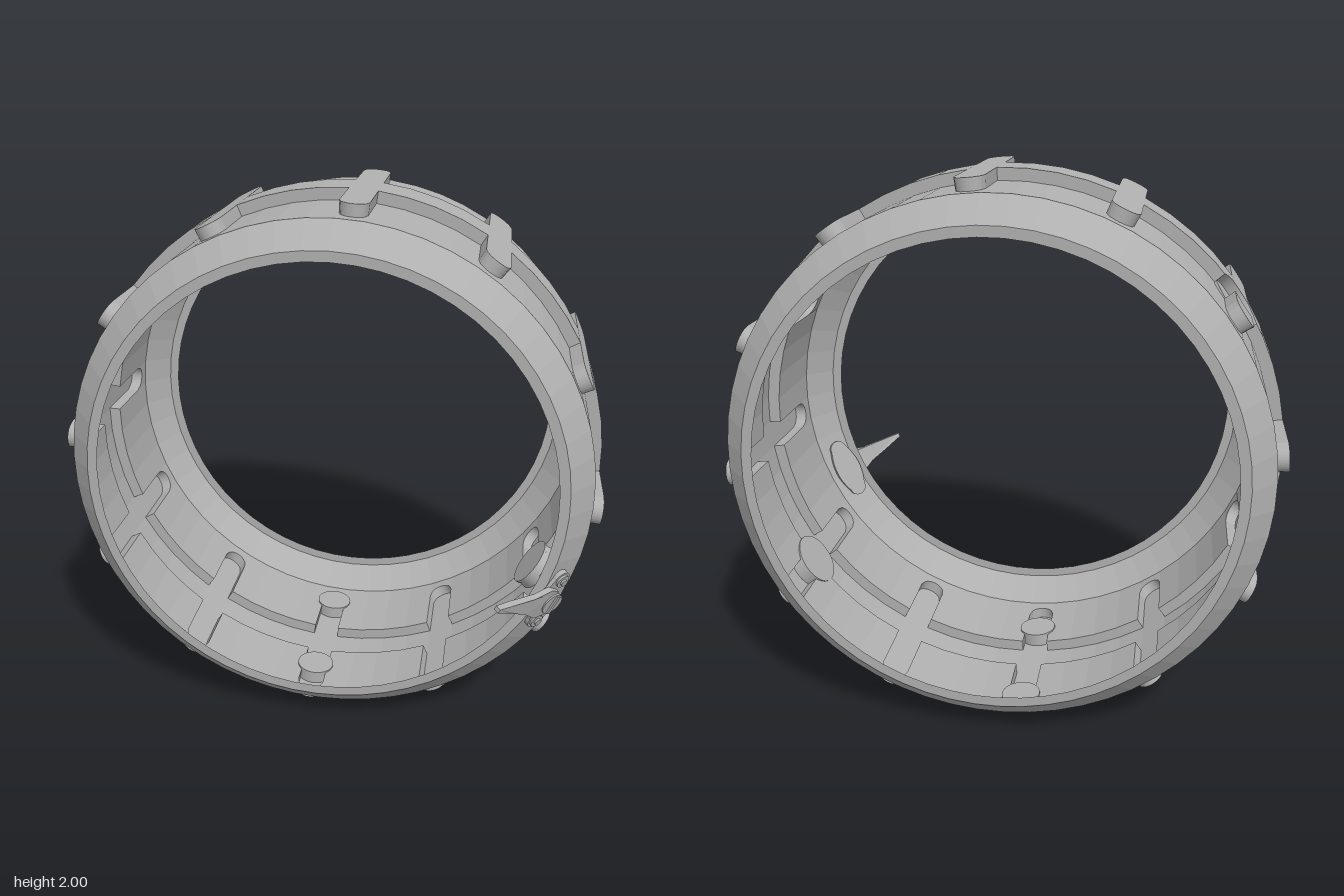
import * as THREE from 'three';
import { mergeGeometries } from 'three/addons/utils/BufferGeometryUtils.js';

const N = 60, STEP = (2 * Math.PI) / N, HALF = Math.tan(STEP / 2);
const FIRST = THREE.MathUtils.degToRad(85);
const R_WALL = 0.955, R_TOP = 0.999;
const Z_BACK = -0.52, Z_FRONT = 0.31;
const BAND_LO = -0.19, BAND_HI = -0.015;

// Round sockets that interrupt the ribs: facet number, z and radius
const sockets = [
  { facet: 10, z: -0.19, r: 0.1 },
  { facet: 40, z: -0.19, r: 0.1 },
  { facet: 30, z: 0.093, r: 0.072 },
  { facet: 30, z: -0.405, r: 0.072 },
];

// Frame of a facet: x along the tangent, y along the axis, z outward
function facetMatrix(i) {
  const a = FIRST + i * STEP, c = Math.cos(a), s = Math.sin(a);
  return new THREE.Matrix4().makeBasis(
    new THREE.Vector3(-s, c, 0), new THREE.Vector3(0, 0, 1), new THREE.Vector3(c, s, 0)
  ).setPosition(0, 1, 0);
}

// Sheet between two rows of points, each given as slope, z and radius
function sheet(i, rowA, rowB) {
  const place = ([s, z, r]) => [s * r, z, r];
  const out = [];
  for (let k = 0; k + 1 < rowA.length; k++) {
    const [a, b, c, d] = [rowA[k], rowA[k + 1], rowB[k + 1], rowB[k]].map(place);
    out.push(...a, ...b, ...c, ...a, ...c, ...d);
  }
  const g = new THREE.BufferGeometry();
  g.setAttribute('position', new THREE.Float32BufferAttribute(out, 3));
  g.computeVertexNormals();
  return g.applyMatrix4(facetMatrix(i));
}

// Points of a boundary curve across one facet
const row = (f, r) => Array.from({ length: 13 }, (_, k) => {
  const s = HALF * (k / 6 - 1);
  return [s, f(s), r];
});

// Raised top and the steps down to the wall at its two ends
function raisedPiece(i, lo, hi, rib) {
  const end = (s) => Math.max(lo(s), hi(s));
  const parts = [
    sheet(i, row(lo, R_TOP), row(end, R_TOP)),
    sheet(i, row(lo, R_WALL), row(lo, R_TOP)),
    sheet(i, row(end, R_TOP), row(end, R_WALL)),
  ];
  // Long sides of a rib, left open where the band joins
  for (const s of rib ? [-HALF, HALF] : []) {
    const spans = [[lo(s), Math.min(end(s), BAND_LO)], [Math.max(lo(s), BAND_HI), end(s)]];
    for (const [a, b] of spans) {
      if (b - a > 0.002) {
        parts.push(sheet(i, [[s, a, R_WALL], [s, b, R_WALL]], [[s, a, R_TOP], [s, b, R_TOP]]));
      }
    }
  }
  return parts;
}

function lip(points) {
  const profile = points.map(([r, z]) => new THREE.Vector2(r / Math.cos(STEP / 2), z));
  const g = new THREE.LatheGeometry(profile, N).toNonIndexed();
  g.computeVertexNormals();
  return g.rotateX(Math.PI / 2).rotateZ(THREE.MathUtils.degToRad(4)).translate(0, 1, 0);
}

export function createModel() {
  const model = new THREE.Group();
  const metal = new THREE.MeshStandardMaterial({ color: 0xb0b0b0, side: THREE.DoubleSide });
  metal.name = 'grey metal';
  const add = (name, geometry, parent = model) => {
    const mesh = new THREE.Mesh(geometry, metal);
    mesh.name = name;
    parent.add(mesh);
  };

  // Thin pressed wall: ribs and band are raised outside and hollow inside
  const wall = [], relief = [];
  for (let i = 0; i < N; i++) {
    const rib = i % 5 === 0;
    const round = (s) => Math.sqrt(Math.max(0, HALF * HALF - s * s));
    const lo = rib ? (s) => -0.418 - round(s) : () => BAND_LO;
    const hi = rib ? (s) => 0.21 + round(s) : () => BAND_HI;
    wall.push(sheet(i, row(() => Z_BACK, R_WALL), row(lo, R_WALL)));
    wall.push(sheet(i, row(hi, R_WALL), row(() => Z_FRONT, R_WALL)));

    let spans = [[lo, hi]];
    for (const h of sockets) {
      const off = (i - h.facet) * 2 * HALF;
      if (Math.abs(off) > HALF + h.r || (!rib && h.r < 0.08)) continue;
      const cut = (s) => Math.sqrt(Math.max(0, h.r * h.r - (s + off) ** 2));
      spans = spans.flatMap(([a, b]) => [
        [a, (s) => Math.min(b(s), h.z - cut(s))],
        [(s) => Math.max(a(s), h.z + cut(s)), b],
      ]).filter(([a, b]) => [-HALF, 0, HALF].some((s) => b(s) - a(s) > 0.004));
    }
    for (const [a, b] of spans) relief.push(...raisedPiece(i, a, b, rib));
  }
  add('ringWall', mergeGeometries(wall));
  add('raisedRibsAndBand', mergeGeometries(relief));

  // Chamfered lips with a narrow flange at both ends
  add('frontLip', lip([[R_WALL, Z_FRONT], [0.867, 0.403], [0.83, 0.403]]));
  add('backLip', lip([[0.83, -0.613], [0.867, -0.613], [R_WALL, Z_BACK]]));

  // Flat discs at the bottom of the sockets
  for (const h of sockets) {
    const g = new THREE.CylinderGeometry(h.r + 0.001, h.r + 0.001, 0.012, 32);
    g.rotateX(Math.PI / 2).translate(0, h.z, 0.953);
    add('socketDisc', g.applyMatrix4(facetMatrix(h.facet)));
  }

  // Spike fitting on the front chamfer: x toward the front edge, z off the chamfer
  const fitting = new THREE.Group();
  fitting.name = 'spikeFitting';
  const a = THREE.MathUtils.degToRad(-24.8), q = Math.SQRT1_2;
  const c = Math.cos(a), s = Math.sin(a);
  new THREE.Matrix4().makeBasis(
    new THREE.Vector3(-q * c, -q * s, q), new THREE.Vector3(s, -c, 0),
    new THREE.Vector3(q * c, q * s, q)
  ).setPosition(0.895 * c, 1 + 0.895 * s, 0.363)
    .decompose(fitting.position, fitting.quaternion, fitting.scale);
  model.add(fitting);

  const disc = (name, r, y, z0, z1, sides = 20) => add(name,
    new THREE.CylinderGeometry(r, r, z1 - z0, sides).rotateX(Math.PI / 2)
      .translate(0, y, (z0 + z1) / 2), fitting);

  const plate = new THREE.Shape();
  plate.moveTo(0.036, 0.095);
  plate.absarc(0, 0.095, 0.036, 0, Math.PI, false);
  plate.quadraticCurveTo(-0.075, 0, -0.036, -0.095);
  plate.absarc(0, -0.095, 0.036, Math.PI, 2 * Math.PI, false);
  plate.quadraticCurveTo(0.075, 0, 0.036, 0.095);
  add('mountingPlate', new THREE.ExtrudeGeometry(plate,
    { depth: 0.03, bevelEnabled: false, curveSegments: 10 }).translate(0, 0, -0.01), fitting);
  for (const y of [-0.095, 0.095]) {
    disc('boltWasher', 0.027, y, 0.01, 0.028);
    disc('boltHead', 0.015, y, 0.02, 0.036, 6);
  }
  disc('pivot', 0.045, 0, 0.01, 0.042);
  add('pivotBar', new THREE.BoxGeometry(0.016, 0.08, 0.01).translate(0, 0, 0.044), fitting);

  // Tapered blade, bent slightly along its length
  const side = [[0, 0.055], [0.05, 0.066], [0.13, 0.036], [0.23, 0.02], [0.305, 0.008]];
  const blade = new THREE.Shape([
    ...side.map(([x, y]) => new THREE.Vector2(x, -y)),
    ...side.map(([x, y]) => new THREE.Vector2(x, y)).reverse(),
  ]);
  const bladeGeo = new THREE.ExtrudeGeometry(blade, { depth: 0.022, bevelEnabled: false });
  const p = bladeGeo.attributes.position;
  for (let k = 0; k < p.count; k++) {
    const x = p.getX(k);
    p.setZ(k, p.getZ(k) + 0.012 + 0.01 * Math.sin(x * 9) + (x > 0.3 ? 0.01 : 0));
  }
  bladeGeo.computeVertexNormals();
  add('spikeBlade', bladeGeo, fitting);

  return model;
}
